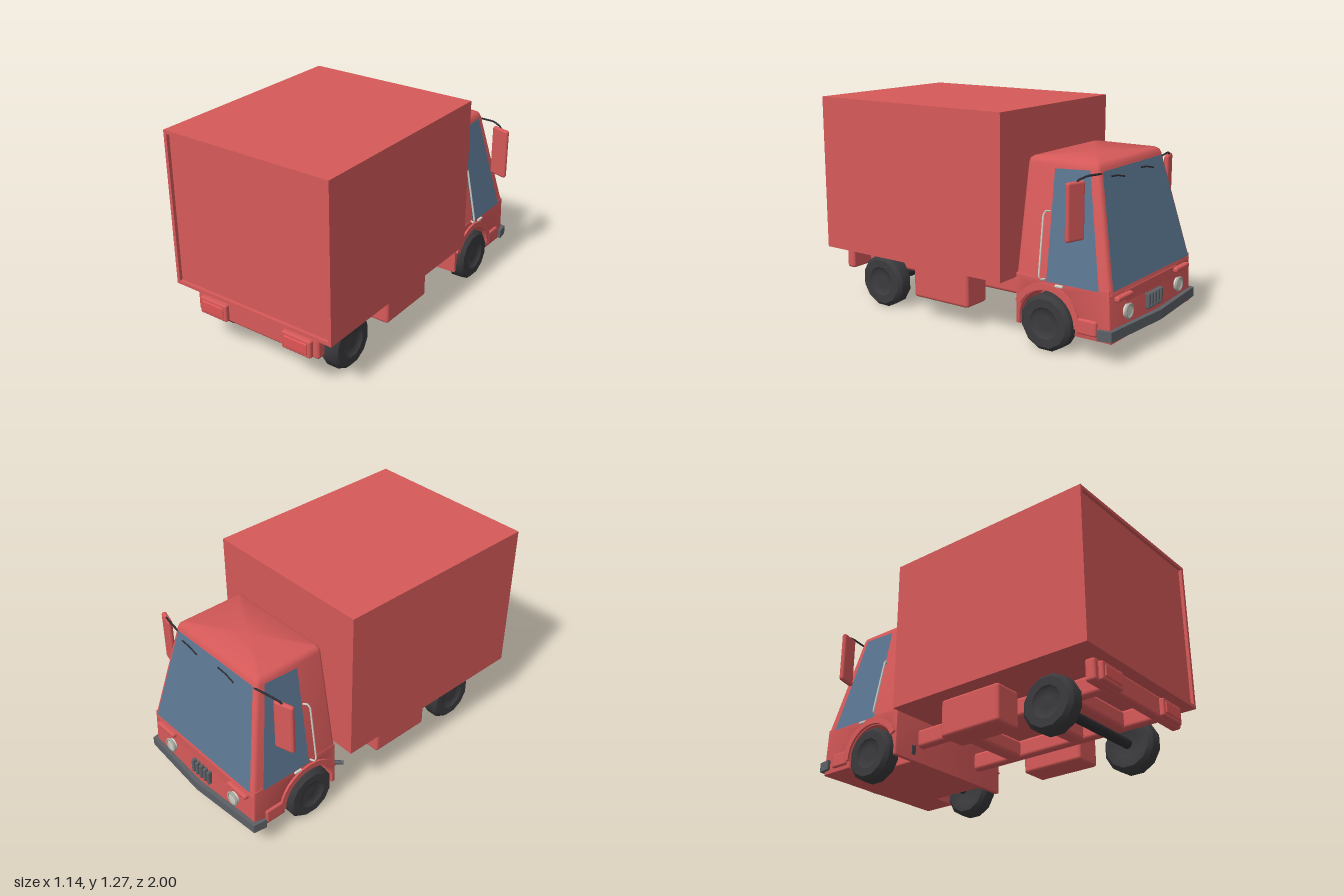
import * as THREE from 'three';
import { toCreasedNormals } from 'three/addons/utils/BufferGeometryUtils.js';
import { RoundedBoxGeometry } from 'three/addons/geometries/RoundedBoxGeometry.js';

const paint = (color, side = THREE.FrontSide) => new THREE.MeshStandardMaterial({ color, side });
const RED = paint(0xd65959), GLASS = paint(0x5a7590, THREE.DoubleSide), TYRE = paint(0x3b3b3e);
const DARK = paint(0x2e2e33), GREY = paint(0x5c6066), CHROME = paint(0xd2d2c8);

export function createModel() {
  const truck = new THREE.Group();
  const add = (name, geometry, material, x = 0, y = 0, z = 0) => {
    const mesh = new THREE.Mesh(geometry, material);
    mesh.name = name;
    mesh.position.set(x, y, z);
    truck.add(mesh);
    return mesh;
  };
  // Rounded block given by its extents
  const block = (name, [x0, x1], [y0, y1], [z0, z1], material = RED, r = 0.012) =>
    add(name, new RoundedBoxGeometry(x1 - x0, y1 - y0, z1 - z0, 2, r), material,
      (x0 + x1) / 2, (y0 + y1) / 2, (z0 + z1) / 2);
  const span = (s, a, b) => (s > 0 ? [a, b] : [-b, -a]);
  const rod = (name, points, radius, material) => add(name, new THREE.TubeGeometry(
    new THREE.CatmullRomCurve3(points.map(p => new THREE.Vector3(...p)), false, 'catmullrom', 0.1),
    16, radius, 6), material);
  const panel = (name, corners, material) => {
    const g = new THREE.BufferGeometry();
    g.setAttribute('position', new THREE.Float32BufferAttribute(corners.flat(), 3));
    g.setIndex([0, 1, 2, 0, 2, 3]);
    g.computeVertexNormals();
    return add(name, g, material);
  };

  // Cargo box with a framed, recessed tail door
  add('cargoBox', new THREE.BoxGeometry(1.08, 0.92, 1.29), RED, 0, 0.81, 0.335);
  const rect = (target, w, h) => target.setFromPoints([[-w, -h], [w, -h], [w, h], [-w, h]]
    .map(p => new THREE.Vector2(...p))).closePath();
  const frame = rect(new THREE.Shape(), 0.54, 0.46);
  frame.holes.push(rect(new THREE.Path(), 0.52, 0.44));
  add('cargoRearFrame', new THREE.ExtrudeGeometry(frame, { depth: 0.02, bevelEnabled: false }), RED, 0, 0.81, 0.98);

  // Chassis rails, cross members and rear beam
  for (const s of [-1, 1]) {
    block('chassisRail', span(s, 0.22, 0.28), [0.205, 0.315], [-0.4, 0.95], RED, 0.02);
    block('sideTank', span(s, 0.28, 0.46), [0.125, 0.345], [-0.02, 0.38], RED, 0.018);
    block('rearLamp', span(s, 0.195, 0.39), [0.205, 0.312], [0.93, 0.985]);
    block('rearLampLens', span(s, 0.215, 0.37), [0.225, 0.293], [0.96, 0.992], paint(0xe05555), 0.008);
  }
  for (const z of [-0.05, 0.4, 0.67])
    block('crossMember', [-0.26, 0.26], [0.205, 0.315], [z - 0.05, z + 0.05], RED, 0.025);
  block('rearBeam', [-0.425, 0.425], [0.2, 0.325], [0.9, 0.96], RED, 0.015);
  const axle = new THREE.CylinderGeometry(0.03, 0.03, 0.7, 10).rotateZ(Math.PI / 2);
  add('rearAxle', axle, DARK, 0, 0.158, 0.67);
  add('frontAxle', axle, DARK, 0, 0.158, -0.555);

  // Wheels: low-sided tyre with a dished hub
  const tyreProfile = [[0, -0.05], [0.075, -0.05], [0.09, -0.057], [0.138, -0.057], [0.16, -0.035],
    [0.16, 0.035], [0.138, 0.057], [0.09, 0.057], [0.075, 0.045], [0.035, 0.042], [0, 0.05]];
  const wheel = toCreasedNormals(new THREE.LatheGeometry(tyreProfile.map(p => new THREE.Vector2(...p)), 12,
    Math.PI / 12).rotateZ(-Math.PI / 2), 0.65);
  for (const s of [-1, 1]) {
    for (const [name, x, z] of [['rearWheel', 0.378, 0.67], ['frontWheel', 0.428, -0.555]])
      add(name, wheel, TYRE, s * x, 0.157, z).rotation.y = s > 0 ? 0 : Math.PI;
  }

  // Lower cab: side profile with wheel arches, extruded across the width
  const side = new THREE.Shape();
  side.moveTo(0.365, 0.125).lineTo(0.365, 0.39).lineTo(0.925, 0.39).lineTo(0.94, 0.125).lineTo(0.74, 0.125);
  side.absarc(0.555, 0.155, 0.185, 0, Math.PI, false);
  side.lineTo(0.37, 0.125);
  const lower = new THREE.ExtrudeGeometry(side, { depth: 0.9, bevelSize: 0.01, bevelThickness: 0.01, bevelSegments: 2, curveSegments: 12 });
  lower.translate(0, 0, -0.45).rotateY(Math.PI / 2);
  add('lowerCab', toCreasedNormals(lower, 0.6), RED);
  block('cabFloor', [-0.3, 0.3], [0.115, 0.37], [-0.94, -0.358]);

  // Upper cab: rounded rectangles lofted to a narrower roof
  const rings = [[0.37, 0.46, -0.943, -0.355], [0.99, 0.351, -0.798, -0.355],
    [1.012, 0.343, -0.789, -0.359], [1.023, 0.328, -0.774, -0.372]];
  const positions = [], index = [], n = 16, r = 0.022;
  for (const [y, hx, z0, z1] of rings) {
    [[1, 1], [-1, 1], [-1, -1], [1, -1]].forEach(([sx, sz], q) => {
      for (let k = 0; k < 4; k++) {
        const a = (q + k / 3) * Math.PI / 2;
        positions.push(sx * (hx - r) + r * Math.cos(a), y, (sz > 0 ? z1 - r : z0 + r) + r * Math.sin(a));
      }
    });
  }
  const top = (rings.length - 1) * n;
  positions.push(0, 1.023, -0.57);
  for (let i = 0; i < n; i++) {
    const j = (i + 1) % n;
    for (let o = 0; o < top; o += n) index.push(o + i, o + n + i, o + j, o + j, o + n + i, o + n + j);
    index.push(top + n, top + j, top + i);
  }
  const upper = new THREE.BufferGeometry();
  upper.setAttribute('position', new THREE.Float32BufferAttribute(positions, 3));
  upper.setIndex(index);
  add('upperCab', toCreasedNormals(upper, 0.75), RED);

  // Glass follows the sloping cab walls
  const wallX = y => 0.46 - 0.176 * (y - 0.37);
  const frontZ = y => -0.943 + 0.234 * (y - 0.37);
  const screen = (x, y) => [x, y, frontZ(y) - 0.004];
  panel('windscreen', [screen(-0.43, 0.39), screen(-0.325, 0.98), screen(0.325, 0.98), screen(0.43, 0.39)], GLASS);
  for (const s of [-1, 1]) {
    const pane = (y, z) => [s * (wallX(y) + 0.004), y, z];
    panel('sideWindow', [pane(0.385, -0.553), pane(0.975, -0.535), pane(0.985, -0.75), pane(0.385, -0.875)], GLASS);

    // Grab rail and door handle
    const rail = (y, z, out) => [s * (wallX(y) + out), y, z];
    rod('grabRail', [rail(0.75, -0.53, 0), rail(0.755, -0.515, 0.03), rail(0.73, -0.512, 0.035),
      rail(0.42, -0.523, 0.035), rail(0.395, -0.525, 0.03), rail(0.395, -0.54, 0)], 0.006, CHROME);
    block('doorHandle', span(s, 0.455, 0.472), [0.365, 0.38], [-0.66, -0.61], CHROME, 0.005);

    // Wheel arch lip and step ahead of the wheel
    const lip = new THREE.Shape();
    lip.absarc(0, 0, 0.215, 0, Math.PI * 0.86, false);
    lip.absarc(0, 0, 0.18, Math.PI * 0.86, 0, true);
    const lipGeometry = new THREE.ExtrudeGeometry(lip, { depth: 0.02, bevelEnabled: false, curveSegments: 7 });
    lipGeometry.translate(0, 0, -0.01).rotateY(Math.PI / 2);
    add('wheelArchLip', lipGeometry, RED, s * 0.463, 0.16, -0.555);
    block('cornerStep', span(s, 0.4, 0.475), [0.14, 0.225], [-0.87, -0.75]);

    // Mirror on a thin arm
    const mirror = block('mirror', span(s, 0.45, 0.57), [0.645, 0.955], [-0.77, -0.74], RED, 0.014);
    mirror.rotation.y = s * -0.28;
    rod('mirrorArm', [[s * 0.33, 0.97, -0.8], [s * 0.44, 0.975, -0.785], [s * 0.5, 0.96, -0.765],
      [s * 0.51, 0.93, -0.757]], 0.006, DARK);

    // Headlight and indicator
    const lamp = new THREE.CylinderGeometry(0.036, 0.036, 0.03, 20).rotateX(Math.PI / 2);
    add('headlight', lamp, CHROME, s * 0.29, 0.255, -0.947);
    add('headlightRim', new THREE.TorusGeometry(0.037, 0.008, 8, 20), paint(0xa8a8a0), s * 0.29, 0.255, -0.96);
    block('indicator', span(s, 0.25, 0.41), [0.328, 0.358], [-0.965, -0.93]);

    // Wiper parked along the top of the screen
    const blade = (x, y) => [x, y, frontZ(y) - 0.012];
    const x0 = s > 0 ? 0.13 : -0.19;
    rod('wiper', [blade(x0, 0.93), blade(x0 + 0.07, 0.945), blade(x0 + 0.14, 0.95)], 0.005, DARK);
  }

  // Grille bars
  for (let i = -2; i <= 2; i++)
    block('grilleBar', [i * 0.035 - 0.011, i * 0.035 + 0.011], [0.205, 0.295], [-0.968, -0.935], GREY, 0.008);

  // Front bumper: bowed plan outline with wrapped ends
  const half = [[0.478, 0.965], [0.49, 0.885], [0.472, 0.885], [0.458, 0.942]];
  const plan = new THREE.Shape([[0, 1], ...half, [0, 0.972],
    ...half.slice().reverse().map(([x, z]) => [-x, z])].map(p => new THREE.Vector2(...p)));
  const bumper = new THREE.ExtrudeGeometry(plan, { depth: 0.056, bevelEnabled: false }).rotateX(-Math.PI / 2);
  add('frontBumper', bumper, GREY, 0, 0.135, 0);

  // Exhaust pipe behind the cab
  rod('exhaustPipe', [[-0.25, 0.16, -0.42], [-0.31, 0.16, -0.36], [-0.42, 0.16, -0.25]], 0.013, GREY);

  return truck;
}
